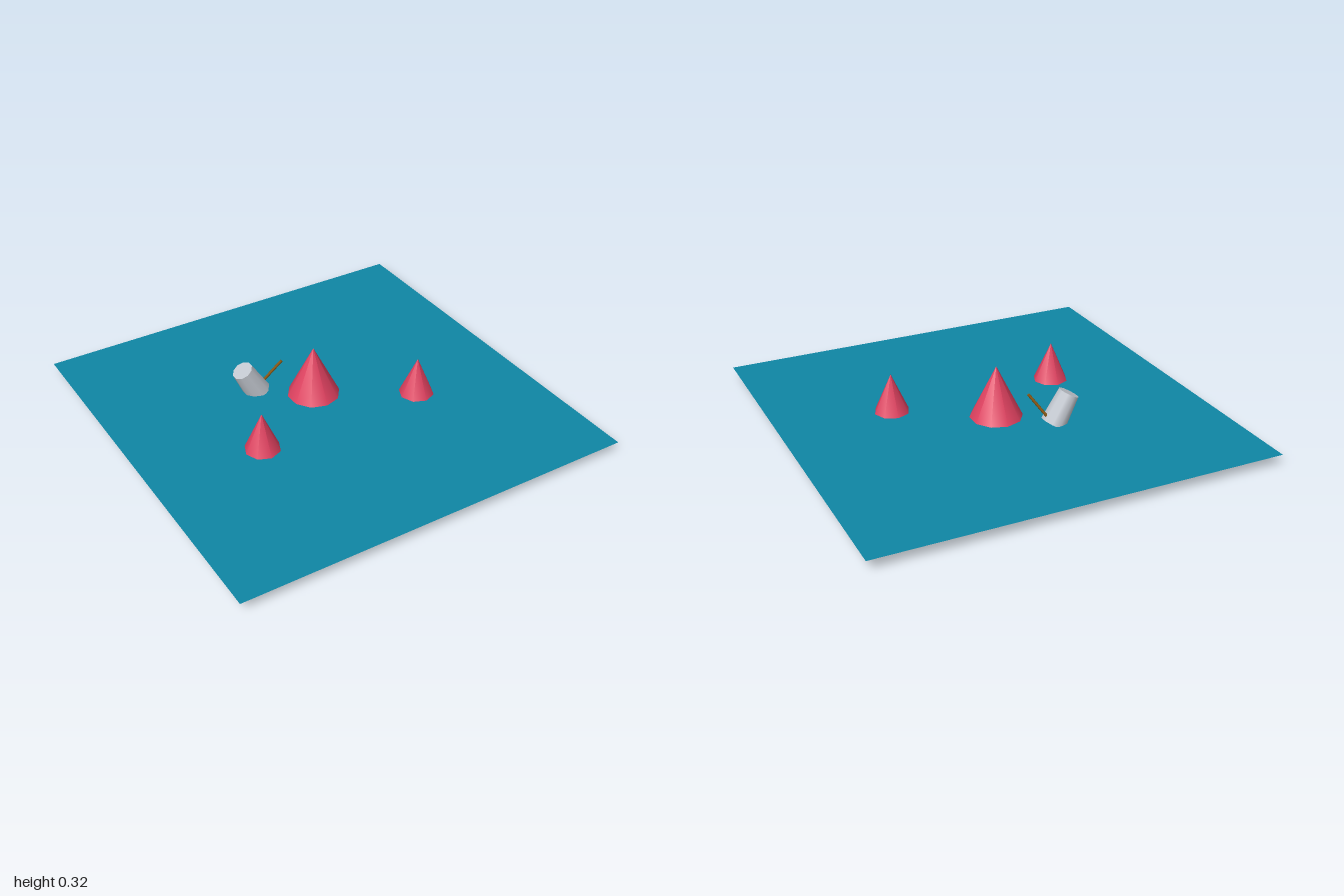
import * as THREE from 'three';

const mat = (name, color, side = THREE.FrontSide) => new THREE.MeshStandardMaterial({ name, color, side });

export function createModel() {
  const model = new THREE.Group();
  const teal = mat('teal', 0x0f86a5, THREE.DoubleSide);
  const red = mat('red', 0xe04160);
  const grey = mat('grey', 0xc3c8d0);
  const brown = mat('brown', 0x8b5a14);
  const groundY = 0.055;

  const add = (name, geometry, material) => {
    const mesh = new THREE.Mesh(geometry, material);
    mesh.name = name;
    model.add(mesh);
    return mesh;
  };

  // Flat square sheet
  const sheet = add('groundSheet', new THREE.PlaneGeometry(2, 2), teal);
  sheet.rotation.x = -Math.PI / 2;
  sheet.position.y = groundY;

  // Cones standing on the sheet, which closes them below
  const cone = (name, x, z, radius, height, sides) =>
    add(name, new THREE.ConeGeometry(radius, height, sides, 1, true), red)
      .position.set(x, groundY + height / 2, z);
  cone('largeCone', 0, -0.09, 0.13, 0.26, 10);
  cone('leftCone', 0.434, 0.172, 0.087, 0.195, 8);
  cone('rightCone', -0.434, 0.172, 0.087, 0.195, 8);

  // Tilted tapered can, sunk partly through the sheet
  const can = add('can', new THREE.CylinderGeometry(0.053, 0.065, 0.165, 10), grey);
  can.position.set(-0.26, 0.119, -0.262);
  can.rotation.z = 0.5;

  // Thin stick leaning through the can
  const low = new THREE.Vector3(-0.245, 0.004, -0.301);
  const high = new THREE.Vector3(-0.104, 0.204, -0.222);
  const axis = high.clone().sub(low);
  const stick = add('stick', new THREE.CylinderGeometry(0.007, 0.007, axis.length(), 8), brown);
  stick.position.copy(low).add(high).multiplyScalar(0.5);
  stick.quaternion.setFromUnitVectors(new THREE.Vector3(0, 1, 0), axis.normalize());

  return model;
}
